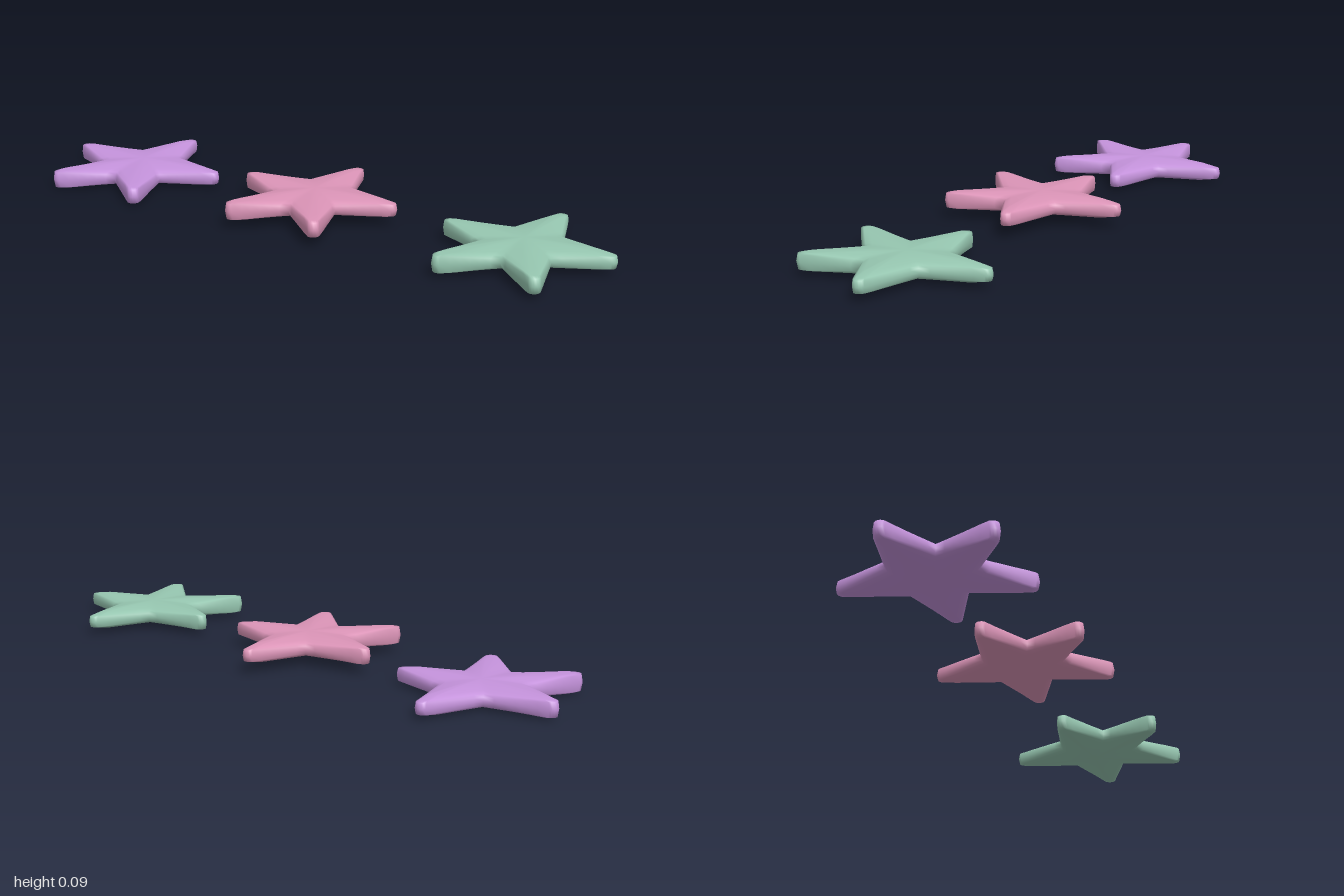
import * as THREE from 'three';
import { mergeVertices } from 'three/addons/utils/BufferGeometryUtils.js';

const HALF = 0.031; // half thickness at the centre

// Star corners, alternating tip and notch, running from the back tip to the left and round
const CORNERS = [
  [0, -0.285], [0.083, -0.098], [0.284, -0.03], [0.122, 0.072], [0.163, 0.267],
  [0, 0.155], [-0.163, 0.267], [-0.122, 0.072], [-0.284, -0.03], [-0.083, -0.098],
].map(([x, z]) => new THREE.Vector2(x, z));

// Outline with rounded tips and evenly divided edges
function starOutline() {
  const r = 0.02, corners = [];
  CORNERS.forEach((p, i) => {
    if (i % 2) return corners.push(p);
    const dir = Math.atan2(p.y, p.x);
    const c = p.clone().setLength(p.length() - r);
    for (let k = -3; k <= 3; k++) {
      const a = dir + k * 0.4;
      corners.push(new THREE.Vector2(c.x + r * Math.cos(a), c.y + r * Math.sin(a)));
    }
  });
  const out = [];
  corners.forEach((p, i) => {
    const q = corners[(i + 1) % corners.length];
    const n = Math.max(1, Math.round(p.distanceTo(q) / 0.03));
    for (let k = 0; k < n; k++) out.push(p.clone().lerp(q, k / n));
  });
  return out;
}

// Puffed star: rings from the top centre over the rim to the bottom centre
function starGeometry() {
  const outline = starOutline(), n = outline.length;
  const scales = [0, 0.4, 0.8, 0.94, 1];
  const valley = [HALF, 0.029, 0.025, 0.019, 0.011];
  const rows = [
    ...scales.map((s, k) => [s, k, 1]),
    [1.015, 4, 0],
    ...scales.map((s, k) => [s, k, -1]).reverse(),
  ];
  const pos = [], index = [];
  for (const [s, k, side] of rows) {
    for (const p of outline) {
      const t = THREE.MathUtils.clamp((p.length() - 0.13) / 0.15, 0, 1);
      const rim = 0.021 + 0.012 * p.y - 0.008 * p.x;
      const ridge = [HALF, HALF, 0.028, rim + 0.003, rim][k];
      pos.push(p.x * s, side * THREE.MathUtils.lerp(valley[k], ridge, t), p.y * s);
    }
  }
  const last = rows.length - 2;
  for (let j = 0; j <= last; j++) {
    for (let i = 0; i < n; i++) {
      const i2 = (i + 1) % n;
      const a = j * n + i, b = j * n + i2, c = b + n, d = a + n;
      if (j > 0) index.push(a, b, d);
      if (j < last) index.push(b, c, d);
      else index.push(a, b, d);
    }
  }
  // the centre rows collapse to a point
  const keep = [];
  for (let f = 0; f < index.length; f += 3) {
    const tri = index.slice(f, f + 3);
    const key = tri.map((v) => [0, 1, 2].map((m) => (pos[v * 3 + m] + 0).toFixed(5)).join());
    if (new Set(key).size === 3) keep.push(...tri);
  }
  // the top cap fan
  let g = new THREE.BufferGeometry();
  g.setAttribute('position', new THREE.Float32BufferAttribute(pos, 3));
  g.setIndex(keep);
  g = mergeVertices(g, 1e-5);
  g.computeVertexNormals();
  return g;
}

export function createModel() {
  const model = new THREE.Group();
  model.name = 'stars';
  const geometry = starGeometry();
  const stars = [
    ['purple', 0xc593dc, -0.716, 0.031, 0.0, 1],
    ['pink', 0xdb94b7, -0.02, 0.056, 0.01, 0.975],
    ['green', 0x96c6b0, 0.717, 0.042, 0.019, 0.985],
  ];
  for (const [name, color, x, y, z, scale] of stars) {
    const material = new THREE.MeshStandardMaterial({ color });
    material.name = name;
    const star = new THREE.Mesh(geometry, material);
    star.name = name + 'Star';
    star.position.set(x, y, z);
    star.scale.set(scale, 1, scale);
    model.add(star);
  }
  return model;
}
